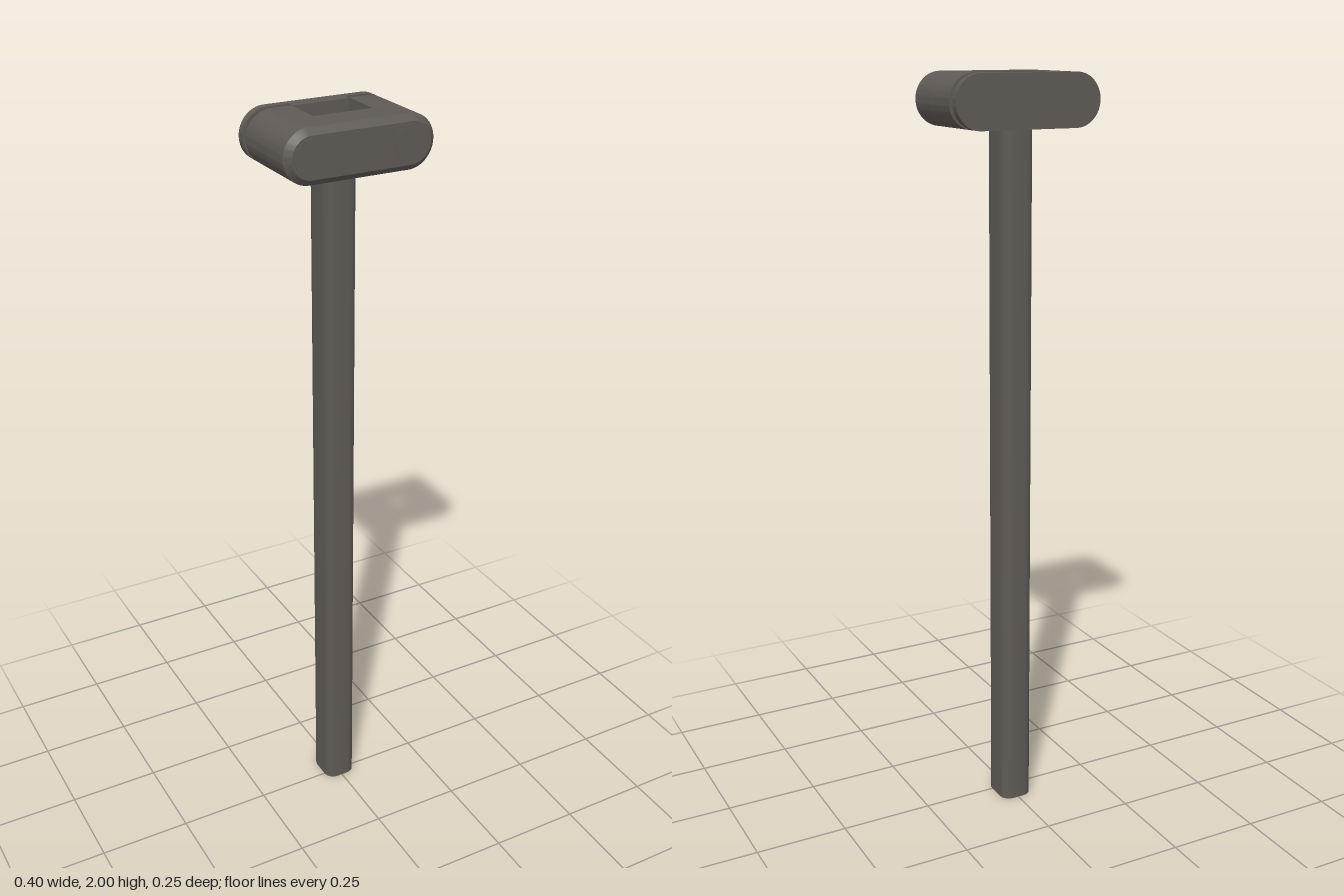
import * as THREE from 'three';
import { toCreasedNormals } from 'three/addons/utils/BufferGeometryUtils.js';

const H = 0.135, R = H / 2, W = 0.2, CY = 2 - R; // clamp height, end radius, half width, centre
const SLOT = 0.079;                              // half width of the slot

// Outline with round ends, seen from the front
function stadium() {
  const s = new THREE.Shape();
  s.absarc(W - R, 0, R, -Math.PI / 2, Math.PI / 2, false);
  s.absarc(-W + R, 0, R, Math.PI / 2, Math.PI * 1.5, false);
  s.closePath();
  return s;
}

// One rounded arm beside the slot
function armShape(side) {
  const s = new THREE.Shape();
  if (side > 0) s.absarc(W - R, 0, R, -Math.PI / 2, Math.PI / 2, false);
  else s.absarc(-W + R, 0, R, Math.PI / 2, Math.PI * 1.5, false);
  s.lineTo(side * SLOT, side * R);
  s.lineTo(side * SLOT, -side * R);
  s.closePath();
  return s;
}

function extrude(shape, z0, z1, steps = 1) {
  const g = new THREE.ExtrudeGeometry(shape, { depth: z1 - z0, steps, bevelEnabled: false, curveSegments: 16 });
  return g.translate(0, 0, z0);
}

export function createModel() {
  const group = new THREE.Group();
  const metal = new THREE.MeshStandardMaterial({ color: 0x5f5a55, side: THREE.DoubleSide });
  metal.name = 'dark metal';
  const add = (name, geometry, x = 0, y = CY, z = 0) => {
    const m = new THREE.Mesh(geometry, metal);
    m.name = name;
    m.position.set(x, y, z);
    group.add(m);
    return m;
  };

  // Front bridge of the clamp, its front rim chamfered
  const bridge = extrude(stadium(), 0, 2, 2);
  const p = bridge.attributes.position;
  for (let i = 0; i < p.count; i++) {
    const step = Math.round(p.getZ(i));
    p.setZ(i, [0.028, 0.108, 0.124][step]);
    if (step === 2) {
      const cx = THREE.MathUtils.clamp(p.getX(i), -W + R, W - R);
      const k = 1 - 0.016 / R;
      p.setXY(i, cx + (p.getX(i) - cx) * k, p.getY(i) * k);
    }
  }
  add('clampBridge', toCreasedNormals(bridge, 0.6));

  // Arms, screws and screw heads on both sides
  for (const side of [1, -1]) {
    const label = side > 0 ? 'left' : 'right';
    add(label + 'ClampArm', toCreasedNormals(extrude(armShape(side), -0.086, 0.028), 0.6));
    const pin = new THREE.CylinderGeometry(0.02, 0.02, 0.04, 24).rotateX(Math.PI / 2);
    add(label + 'Screw', pin, side * 0.131, CY, -0.095);
    const head = new THREE.CylinderGeometry(0.046, 0.046, 0.004, 32).rotateX(Math.PI / 2);
    add(label + 'ScrewHead', head, side * 0.131, CY, 0.123);
  }

  // Back plate with the pressing block that reaches into the slot
  add('backPlate', toCreasedNormals(extrude(stadium(), -0.125, -0.104), 0.6));
  add('pressingBlock', new THREE.BoxGeometry(0.153, H, 0.022), 0, CY, -0.093);

  // Hollow post: a rounded rectangle swept upward, open at both ends
  const hx = 0.045, hz = 0.052, r = 0.028, top = 1.88, n = 4;
  const ring = [];
  for (let c = 0; c < 4; c++) {
    const sx = c === 0 || c === 3 ? 1 : -1, sz = c < 2 ? 1 : -1;
    for (let i = 0; i <= n; i++) {
      const a = (c + i / n) * Math.PI / 2;
      ring.push([sx * (hx - r) + r * Math.cos(a), sz * (hz - r) + r * Math.sin(a)]);
    }
  }
  const pos = [], index = [];
  ring.forEach(([x, z], i) => {
    pos.push(x, 0, z, x, top, z);
    const a = i * 2, b = ((i + 1) % ring.length) * 2;
    index.push(a, a + 1, b, b, a + 1, b + 1);
  });
  const post = new THREE.BufferGeometry();
  post.setAttribute('position', new THREE.Float32BufferAttribute(pos, 3));
  post.setIndex(index);
  post.computeVertexNormals();
  add('post', post, 0, 0, -0.023);

  return group;
}
